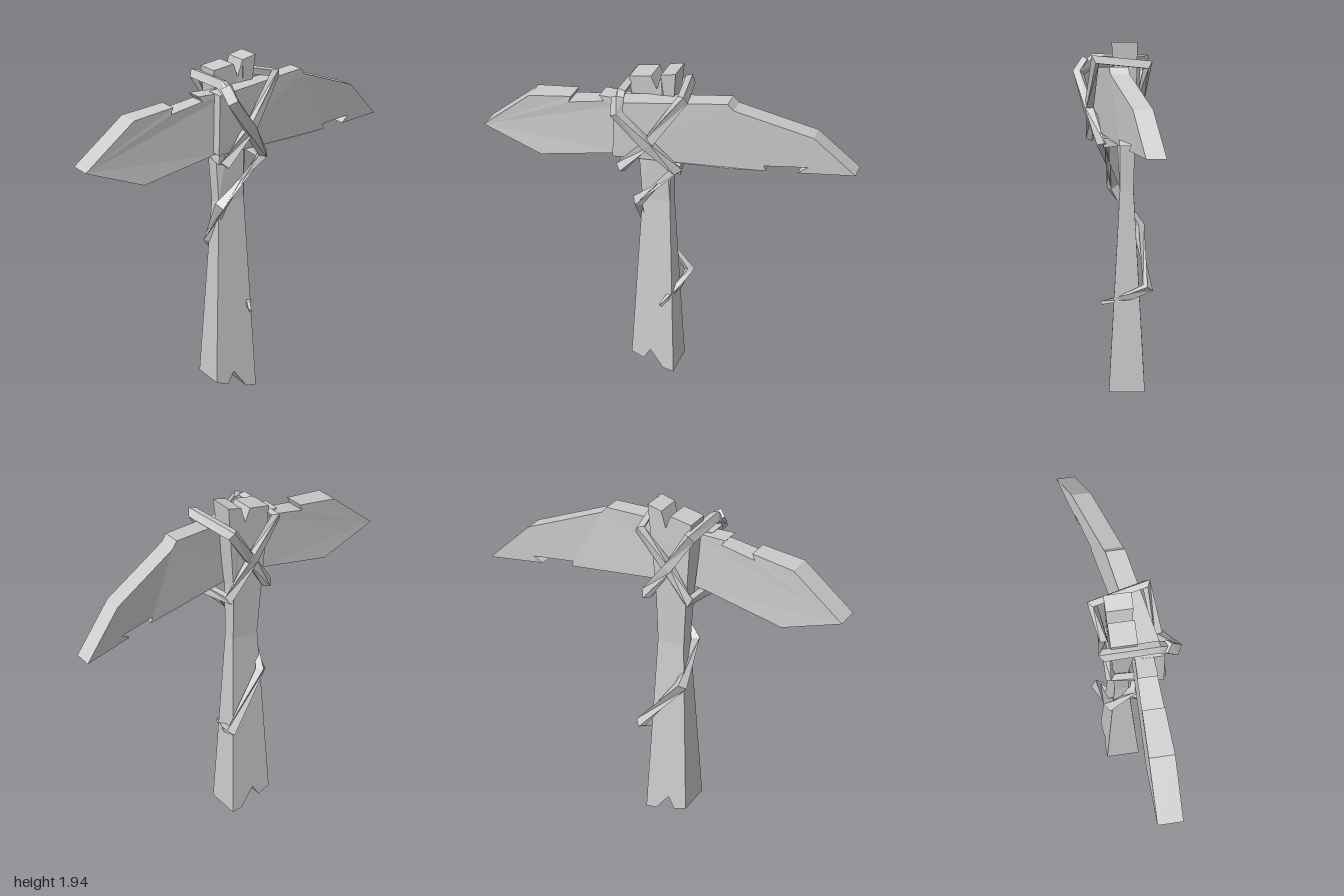
import * as THREE from 'three';

const material = new THREE.MeshStandardMaterial({ color: 0xcccccc, flatShading: true });

function addMesh(group, name, geometry) {
  geometry.computeVertexNormals();
  const mesh = new THREE.Mesh(geometry, material);
  mesh.name = name;
  group.add(mesh);
}

// Linear interpolation through rows of [key, back z, front z]
function sampleZ(table, key, column) {
  let i = 0;
  while (i < table.length - 2 && key > table[i + 1][0]) i++;
  const a = table[i], b = table[i + 1];
  return THREE.MathUtils.mapLinear(key, a[0], b[0], a[column], b[column]);
}

// Cut an outline from a plank whose back and front follow a table along one axis
function plank(outline, axis, table) {
  const shape = new THREE.Shape(outline.map(([x, y]) => new THREE.Vector2(x, y)));
  const geometry = new THREE.ExtrudeGeometry(shape, { depth: 1, bevelEnabled: false });
  const p = geometry.attributes.position;
  for (let i = 0; i < p.count; i++) {
    const key = axis === 'x' ? p.getX(i) : p.getY(i);
    p.setZ(i, sampleZ(table, key, p.getZ(i) > 0.5 ? 2 : 1));
  }
  return geometry;
}

// Square strap swept through points, its flat side facing away from the post axis.
// Each point is [x, y, z, optional scale].
function strap(points, width = 0.05, thickness = 0.04) {
  const v = points.map(([x, y, z]) => new THREE.Vector3(x, y, z));
  const rings = v.map((p, i) => {
    const tangent = new THREE.Vector3();
    if (i > 0) tangent.add(p.clone().sub(v[i - 1]).normalize());
    if (i < v.length - 1) tangent.add(v[i + 1].clone().sub(p).normalize());
    tangent.normalize();
    const out = new THREE.Vector3(p.x + 0.06, 0, p.z + 0.03);
    out.addScaledVector(tangent, -out.dot(tangent)).normalize();
    const side = tangent.clone().cross(out);
    const s = points[i][3] ?? 1;
    return [[1, 1], [-1, 1], [-1, -1], [1, -1]].map(([n, w]) => p.clone()
      .addScaledVector(out, n * s * thickness / 2)
      .addScaledVector(side, w * s * width / 2));
  });
  const tris = [];
  for (let i = 0; i < rings.length - 1; i++) {
    for (let k = 0; k < 4; k++) {
      const j = (k + 1) % 4;
      const a = rings[i][k], b = rings[i][j], c = rings[i + 1][j], d = rings[i + 1][k];
      tris.push(a, b, c, a, c, d);
    }
  }
  const s = rings[0], e = rings[rings.length - 1];
  tris.push(s[0], s[2], s[1], s[0], s[3], s[2], e[0], e[1], e[2], e[0], e[2], e[3]);
  return new THREE.BufferGeometry().setFromPoints(tris);
}

export function createModel() {
  const group = new THREE.Group();
  group.name = 'pickaxe';

  // Tapered post, split at both ends
  addMesh(group, 'handle', plank([
    [-0.195, 0.08], [-0.12, 0.05], [-0.08, 0.12], [0, 0.01], [0.065, 0],
    [0.02, 1.13], [0.025, 1.45], [0.065, 1.94], [-0.015, 1.92], [-0.04, 1.83],
    [-0.07, 1.905], [-0.19, 1.885], [-0.16, 1.45], [-0.14, 1.13],
  ], 'y', [[0, -0.16, 0.04], [1.13, -0.095, -0.02], [1.45, -0.105, -0.02], [1.94, -0.115, 0.025]]));

  // Pointed half of the head
  addMesh(group, 'pointedBlade', plank([
    [-1, 1.5], [-0.67, 1.375], [-0.23, 1.455], [-0.1, 1.47], [-0.1, 1.78],
    [-0.33, 1.785], [-0.305, 1.755], [-0.5, 1.72], [-0.485, 1.755], [-0.72, 1.725],
  ], 'x', [[-1, 0, 0.13], [-0.7, -0.005, 0.125], [-0.1, 0, 0.085]]));

  // Swept-back half of the head, overlapping the front of the post
  addMesh(group, 'sweptBlade', plank([
    [-0.24, 1.465], [0.37, 1.445], [0.55, 1.44], [0.54, 1.47], [0.76, 1.47],
    [0.71, 1.435], [1, 1.43], [0.78, 1.645], [0.38, 1.79], [0.35, 1.825], [-0.23, 1.785],
  ], 'x', [[-0.24, 0.04, 0.15], [0.37, -0.07, 0.03], [1, -0.25, -0.15]]));

  // Lashing: two crossed loops over the head
  addMesh(group, 'crossStrap', strap([
    [-0.2, 1.4, 0.14], [-0.03, 1.6, 0.145], [0.135, 1.85, 0.11],
    [0.08, 1.82, -0.17], [-0.06, 1.62, -0.13], [-0.18, 1.44, -0.12], [-0.195, 1.42, 0.11],
  ]));
  addMesh(group, 'backStrap', strap([
    [0.09, 1.4, 0.07], [0.07, 1.42, -0.13], [-0.07, 1.62, -0.14],
    [-0.205, 1.835, -0.155], [-0.2, 1.835, 0.12], [-0.19, 1.76, 0.21],
  ]));

  // Long strap crossing the front, then spiralling down the handle to a loose end
  addMesh(group, 'spiralStrap', strap([
    [-0.2, 1.83, 0.16], [-0.19, 1.76, 0.21], [-0.05, 1.58, 0.155], [0.085, 1.4, 0.07],
    [-0.15, 1.13, 0.02], [-0.145, 0.9, -0.125], [0.085, 0.6, -0.175, 0.9], [0.06, 0.55, -0.08, 0.7],
    [0.0, 0.495, 0.08, 0.35],
  ], 0.055, 0.045));

  return group;
}
